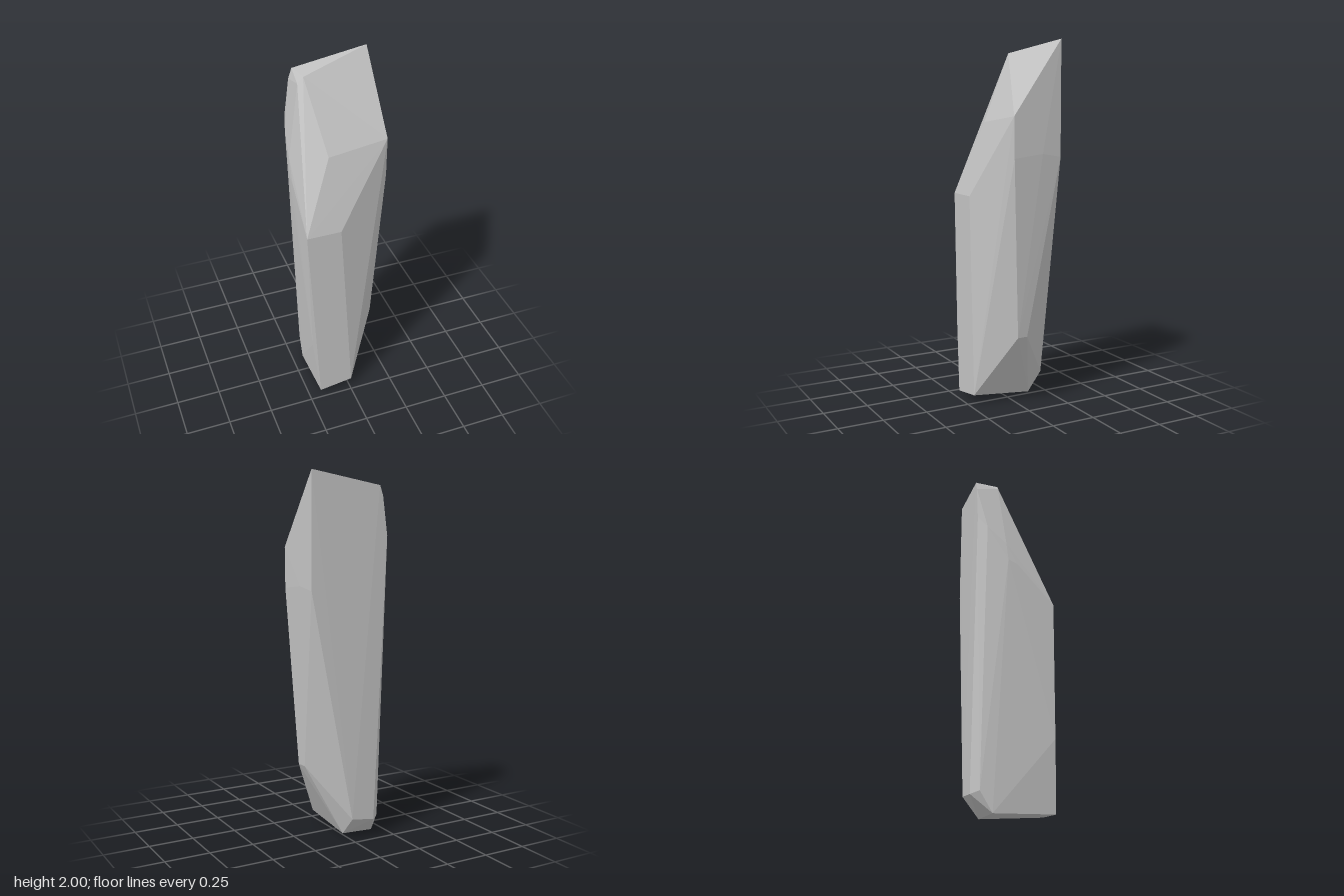
import * as THREE from 'three';
import { ConvexGeometry } from 'three/addons/geometries/ConvexGeometry.js';

// Corners of the faceted stone, grouped by region
const crown = [
  [0.235, 2.0, -0.195], [-0.145, 1.935, -0.085], [-0.175, 1.9, -0.09],
  [-0.163, 1.925, -0.218], [-0.182, 1.87, -0.218],
];
const frontFacets = [
  [0.245, 1.6, 0.093], [-0.08, 1.56, 0.1], [-0.24, 1.16, 0.208], [-0.05, 1.16, 0.208],
];
const leftRim = [[0.245, 1.38, 0.09], [0.245, 1.4, -0.08], [0.237, 1.38, -0.195]];
const rightRim = [
  [-0.21, 1.66, -0.218], [-0.226, 1.6, -0.165], [-0.24, 1.5, -0.06],
  [-0.245, 1.4, -0.05], [-0.245, 1.38, 0],
];
const lowerSides = [
  [0.195, 0.4, 0.04], [0.19, 0.4, -0.02], [-0.222, 0.4, 0.207],
  [0, 0.12, -0.218], [-0.135, 0.1, -0.218], [-0.18, 0.11, -0.18],
];
const base = [
  [0.012, 0.05, 0.217], [-0.18, 0.02, 0.217], [0.01, 0.015, -0.13], [-0.185, 0, -0.115],
];

export function createModel() {
  const group = new THREE.Group();
  group.name = 'standingStone';

  const stone = new THREE.MeshStandardMaterial({ color: 0xc2c2c2 });
  stone.name = 'pale stone grey';

  // Flat facets stretched over the corners
  const corners = [crown, frontFacets, leftRim, rightRim, lowerSides, base]
    .flat()
    .map(([x, y, z]) => new THREE.Vector3(x, y, z));
  const rock = new THREE.Mesh(new ConvexGeometry(corners), stone);
  rock.name = 'rock';
  group.add(rock);

  return group;
}
